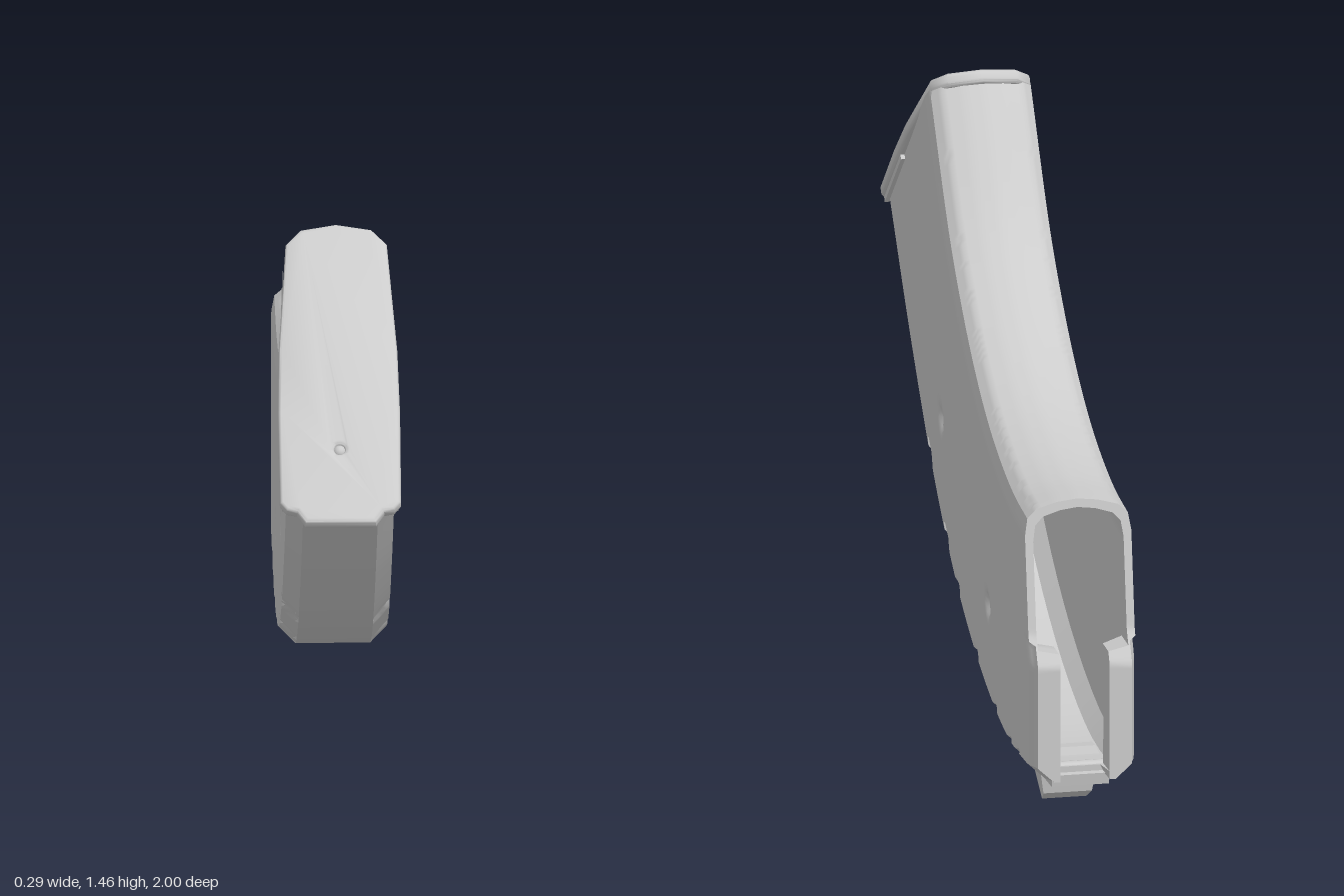
import * as THREE from 'three';
import { toCreasedNormals } from 'three/addons/utils/BufferGeometryUtils.js';

const material = new THREE.MeshStandardMaterial({ color: 0xcccccc });

// Curves in the side plane, given as [z, y] pairs
const sideCurve = (pts) =>
  new THREE.CatmullRomCurve3(pts.map(([z, y]) => new THREE.Vector3(0, y, z)));
const outerCurve = sideCurve([[0.95, 0.92], [0.66, 0.66], [0.37, 0.435], [0.12, 0.29],
  [-0.12, 0.195], [-0.4, 0.13], [-0.68, 0.108], [-1, 0.145]]);
const innerCurve = sideCurve([[0.38, 1.44], [0.13, 1.17], [-0.03, 1.05], [-0.2, 0.955],
  [-0.38, 0.885], [-0.56, 0.845], [-0.73, 0.828], [-0.89, 0.83]]);

// Half cross-section: [half width, height fraction, subdivisions to the next point]
const section = [[0, 0, 6], [0.09, 0, 5], [0.13, 0.055, 56], [0.13, 0.88, 3], [0.123, 0.94, 3],
  [0.1, 0.972, 4], [0.05, 0.992, 3], [0, 1, 0]];

const dimples = [[0.23, 0.63], [-0.4, 0.385]];
const notches = [0.37, 0.15, 0, -0.25, -0.5, -0.69, -0.8];

function ringPoints() {
  const half = [];
  section.forEach(([x, v, n], i) => {
    for (let k = 0; k < n; k++) {
      const [x2, v2] = section[i + 1];
      half.push([x + (x2 - x) * k / n, v + (v2 - v) * k / n]);
    }
  });
  const mirrored = half.slice(1).reverse().map(([x, v]) => [-x, v]);
  return [...half, [0, 1], ...mirrored];
}

// How far the feed lips stand out beyond the straight mouth line
function lipReach(v) {
  if (v < 0.43) return 0.047 * Math.min(1, v / 0.43);
  return v < 0.53 ? 0.047 - (v - 0.43) * 0.37 : 0.01 * (1 - v) / 0.47;
}

// One point of the shell wall
function shellPoint(x, v, t, inside) {
  const side = Math.sign(x);
  let w = Math.abs(x);
  const floorNotch = v < 0.02 && w < 0.065;
  if (inside) {
    w *= 0.85;
    if (t > 0.955 && v < 0.47) w = Math.min(w, 0.06);
    v = 0.03 + v * 0.94;
  }
  if (floorNotch) t = Math.min(t, 0.965);
  const a = outerCurve.getPoint(t), b = innerCurve.getPoint(t);
  const p = a.lerp(b, v);
  p.z -= lipReach(v) * THREE.MathUtils.smoothstep(t, 0.85, 1);
  if (!inside) {
    // round the outer corner of the lips
    if (v < 0.5) w -= 0.015 * THREE.MathUtils.smoothstep(t, 0.97, 1);
    // notches along the lower chamfer
    if (v > 0.005 && v < 0.08 && notches.some((z) => Math.abs(z - p.z) < 0.025)) w *= 0.93;
    // pressed dimples
    for (const [z, y] of dimples) {
      const r = Math.hypot(p.z - z, p.y - y) / 0.034;
      if (r < 1) w -= 0.016 * (1 - r * r) - 0.01 * Math.max(0, 1 - 3 * r);
    }
  }
  p.x = side * w;
  return p;
}

// Curved hollow body: outside to the mouth, then back along the inside
function bodyGeometry() {
  const ring = ringPoints(), n = ring.length;
  const stations = [];
  for (let i = 0; i <= 130; i++) stations.push([i / 130, false]);
  for (const t of [1, 0.98, 0.96, 0.95]) stations.push([t, true]);
  for (let i = 18; i >= 0; i--) stations.push([i / 20, true]);
  const pos = [], index = [];
  stations.forEach(([t, inside], s) => {
    ring.forEach(([x, v], j) => {
      pos.push(...shellPoint(x, v, t, inside).toArray());
      if (s === stations.length - 1) return;
      const a = s * n + j, c = s * n + (j + 1) % n;
      index.push(a, a + n, c, c, a + n, c + n);
    });
  });
  const g = new THREE.BufferGeometry();
  g.setAttribute('position', new THREE.Float32BufferAttribute(pos, 3));
  g.setIndex(index);
  return toCreasedNormals(g, 0.6);
}

function addMesh(parent, name, geometry) {
  const mesh = new THREE.Mesh(geometry, material);
  mesh.name = name;
  parent.add(mesh);
  return mesh;
}

// Sloping end plate with rolled edges, button hole and side flanges
function floorPlate() {
  const group = new THREE.Group();
  group.name = 'floorPlate';
  const half = [[0.085, 0], [0.105, 0.03], [0.13, 0.035], [0.146, 0.055], [0.147, 0.3],
    [0.143, 0.47], [0.122, 0.76], [0.085, 0.8], [0, 0.815]];
  const outline = [...half, ...half.slice(0, -1).reverse().map(([x, y]) => [-x, y])];
  const shape = new THREE.Shape(outline.map(([x, y]) => new THREE.Vector2(x, y)));
  shape.holes.push(new THREE.Path().absarc(0, 0.2, 0.012, 0, Math.PI * 2, true));
  const plate = new THREE.ExtrudeGeometry(shape, { depth: 0.012, bevelThickness: 0.012,
    bevelSize: 0.012, bevelOffset: -0.012, bevelSegments: 4, curveSegments: 12 });
  plate.translate(0, 0, 0.012);
  addMesh(group, 'plate', toCreasedNormals(plate, 0.7));
  const button = addMesh(group, 'catchButton', new THREE.SphereGeometry(0.016, 16, 10));
  button.position.set(0, 0.2, 0.02);
  for (const s of [-1, 1]) {
    const flange = addMesh(group, 'sideFlange', new THREE.BoxGeometry(0.012, 0.29, 0.035));
    flange.position.set(s * 0.134, 0.2, 0.006);
  }
  group.position.set(0, 0.904, 0.977);
  group.rotation.x = -0.855;
  return group;
}

// Locking lug under the mouth, tapering downwards
function lugGeometry() {
  const profile = [[-0.61, 0.115], [-0.64, 0.075], [-0.665, 0.062], [-0.72, 0], [-0.765, 0.03],
    [-0.775, 0.085], [-0.935, 0.11], [-0.94, 0.14], [-0.75, 0.14]];
  const shape = new THREE.Shape(profile.map(([z, y]) => new THREE.Vector2(z, y)));
  const g = new THREE.ExtrudeGeometry(shape, { depth: 0.14, bevelEnabled: false });
  g.translate(0, 0, -0.07).rotateY(-Math.PI / 2);
  const p = g.attributes.position;
  for (let i = 0; i < p.count; i++) p.setX(i, p.getX(i) * (0.78 + 2.2 * Math.min(p.getY(i), 0.1)));
  g.computeVertexNormals();
  return g;
}

export function createModel() {
  const model = new THREE.Group();
  model.name = 'curvedMagazine';
  addMesh(model, 'body', bodyGeometry());
  model.add(floorPlate());
  addMesh(model, 'lockingLug', lugGeometry());
  // Small rounded ledge across the mouth floor
  const ledge = addMesh(model, 'mouthLedge', new THREE.CylinderGeometry(0.02, 0.02, 0.13, 12));
  ledge.rotation.z = Math.PI / 2;
  ledge.position.set(0, 0.14, -0.9);
  return model;
}
